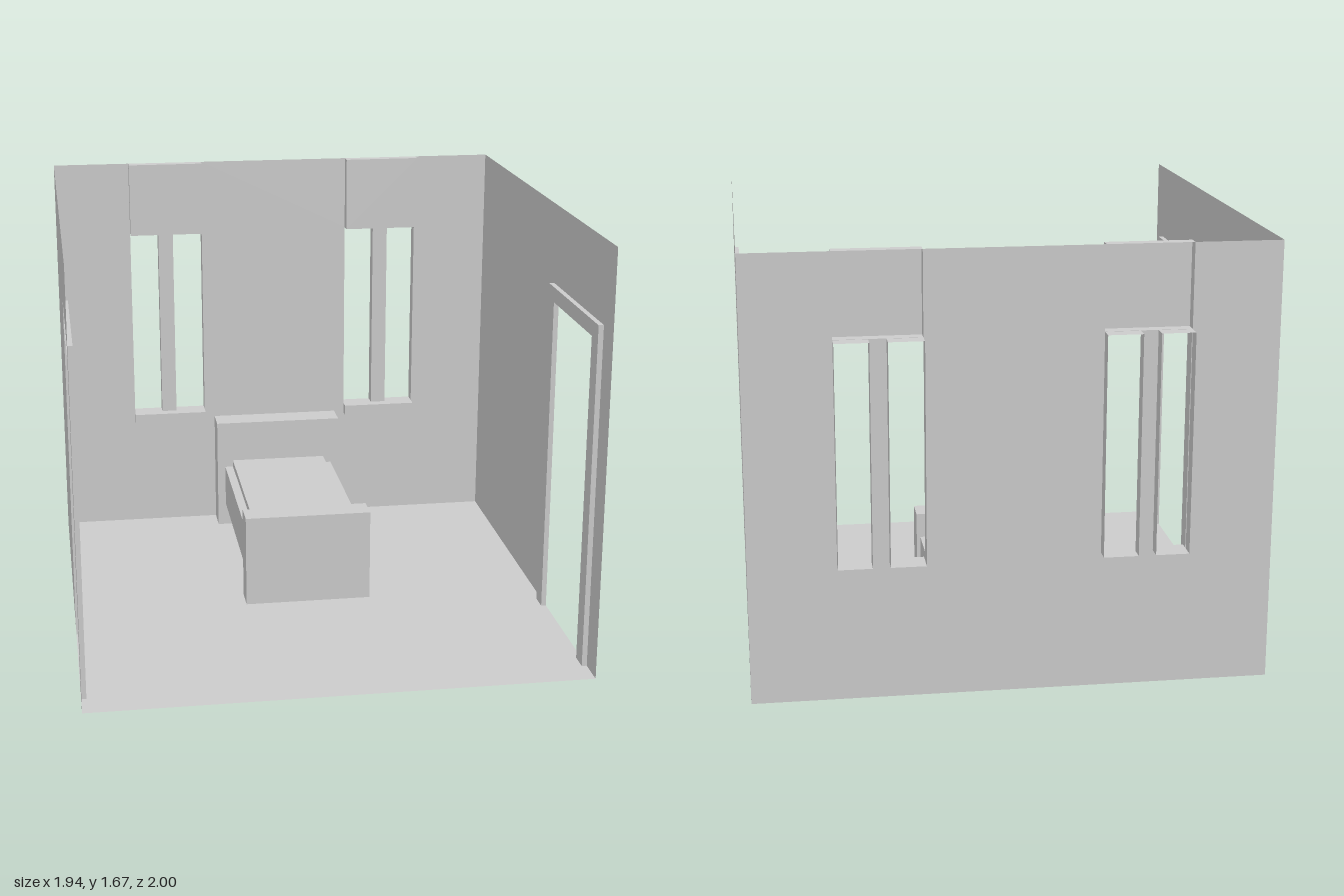
import * as THREE from 'three';

const W = 0.97, H = 1.675, BACK = -0.945, FRONT = 1;
const solid = new THREE.MeshStandardMaterial({ color: 0xcccccc });
const thin = new THREE.MeshStandardMaterial({ color: 0xcccccc, side: THREE.DoubleSide });

function add(parent, name, geometry, material = thin) {
  const mesh = new THREE.Mesh(geometry, material);
  mesh.name = name;
  parent.add(mesh);
  return mesh;
}

// Box given by its limits on each axis
function box(parent, name, x0, x1, y0, y1, z0, z1) {
  const g = new THREE.BoxGeometry(x1 - x0, y1 - y0, z1 - z0);
  g.translate((x0 + x1) / 2, (y0 + y1) / 2, (z0 + z1) / 2);
  return add(parent, name, g, solid);
}

const outline = (pts) => pts.map(([x, y]) => new THREE.Vector2(x, y));
const rect = (x0, x1, y0, y1) => [[x0, y0], [x1, y0], [x1, y1], [x0, y1]];

// Flat sheet in the XY plane at depth z
function sheet(pts, z = 0, holes = []) {
  const shape = new THREE.Shape(outline(pts));
  for (const h of holes) shape.holes.push(new THREE.Path(outline(h)));
  return new THREE.ShapeGeometry(shape).translate(0, 0, z);
}

// Strip following a path in XY, running from z0 to z1
function ribbon(pts, z0, z1, closed = false) {
  const v = [];
  const n = closed ? pts.length : pts.length - 1;
  for (let i = 0; i < n; i++) {
    const [ax, ay] = pts[i], [bx, by] = pts[(i + 1) % pts.length];
    v.push(ax, ay, z0, bx, by, z0, bx, by, z1, ax, ay, z0, bx, by, z1, ax, ay, z1);
  }
  const g = new THREE.BufferGeometry();
  g.setAttribute('position', new THREE.Float32BufferAttribute(v, 3));
  g.computeVertexNormals();
  return g;
}

// Side wall with a doorway; local x runs along the room, local z points inward
function sideWall(name) {
  const wall = new THREE.Group();
  wall.name = name;
  const outer = [[0.23, 0], [0.23, 1.36], [0.885, 1.36], [0.885, 0]];
  const inner = [[0.305, 0], [0.305, 1.3], [0.81, 1.3], [0.81, 0]];
  add(wall, 'wallPanel', sheet([[BACK, 0], ...outer, [FRONT, 0], [FRONT, H], [BACK, H]]));

  // Door trim pushed a little into the room
  add(wall, 'doorTrimFace', sheet([...outer, ...[...inner].reverse()], 0.02));
  add(wall, 'doorTrimOuterEdge', ribbon(outer, 0, 0.02));
  add(wall, 'doorTrimInnerEdge', ribbon(inner, 0, 0.02));

  wall.rotation.y = -Math.PI / 2;
  wall.position.x = W;
  return wall;
}

function backWall() {
  const wall = new THREE.Group();
  wall.name = 'backWall';
  const sill = 0.525, head = 1.36, x0 = 0.325, x1 = 0.645;

  // Wall outline is notched behind the two recessed window headers
  const notch = (a, b) => [[b, H], [b, head], [a, head], [a, H]];
  const panes = [];
  for (const s of [-1, 1]) {
    for (const [a, b] of [[x0, 0.455], [0.52, x1]]) {
      panes.push(s > 0 ? rect(a, b, sill, head - 0.001) : rect(-b, -a, sill, head - 0.001));
    }
  }
  add(wall, 'wallPanel', sheet(
    [[-W, 0], [W, 0], [W, H], ...notch(x0, x1), ...notch(-x1, -x0), [-W, H]], BACK, panes));

  // Window casings stand out behind the wall
  for (const p of panes) add(wall, 'windowCasing', ribbon(p, BACK, -1, true));

  // Header boxes, open at the back, and sills
  for (const [a, b] of [[-x1, -x0], [x0, x1]]) {
    const r = rect(a, b, head, H);
    add(wall, 'windowHeaderFace', sheet(r, -0.9));
    add(wall, 'windowHeaderSides', ribbon(r, BACK, -0.9, true));
    box(wall, 'windowSill', a, b, 0.48, sill, BACK, -0.9);
  }
  return wall;
}

function bed() {
  const g = new THREE.Group();
  g.name = 'bed';
  box(g, 'headboard', -0.28, 0.28, 0, 0.49, -0.943, -0.825);
  box(g, 'footboard', -0.26, 0.26, 0, 0.38, 0, 0.11);
  box(g, 'mattress', -0.21, 0.21, 0.1, 0.31, -0.825, 0);
  box(g, 'rightRail', -0.245, -0.21, 0.1, 0.28, -0.825, 0);
  box(g, 'leftRail', 0.21, 0.245, 0.1, 0.28, -0.825, 0);
  return g;
}

export function createModel() {
  const room = new THREE.Group();
  room.name = 'bedroom';

  const floor = sheet(rect(-W, W, -FRONT, -BACK)).rotateX(-Math.PI / 2);
  add(room, 'floor', floor);

  room.add(sideWall('leftWall'));
  const mirror = new THREE.Group();
  mirror.name = 'rightSide';
  mirror.scale.x = -1;
  mirror.add(sideWall('rightWall'));
  room.add(mirror, backWall(), bed());
  return room;
}
